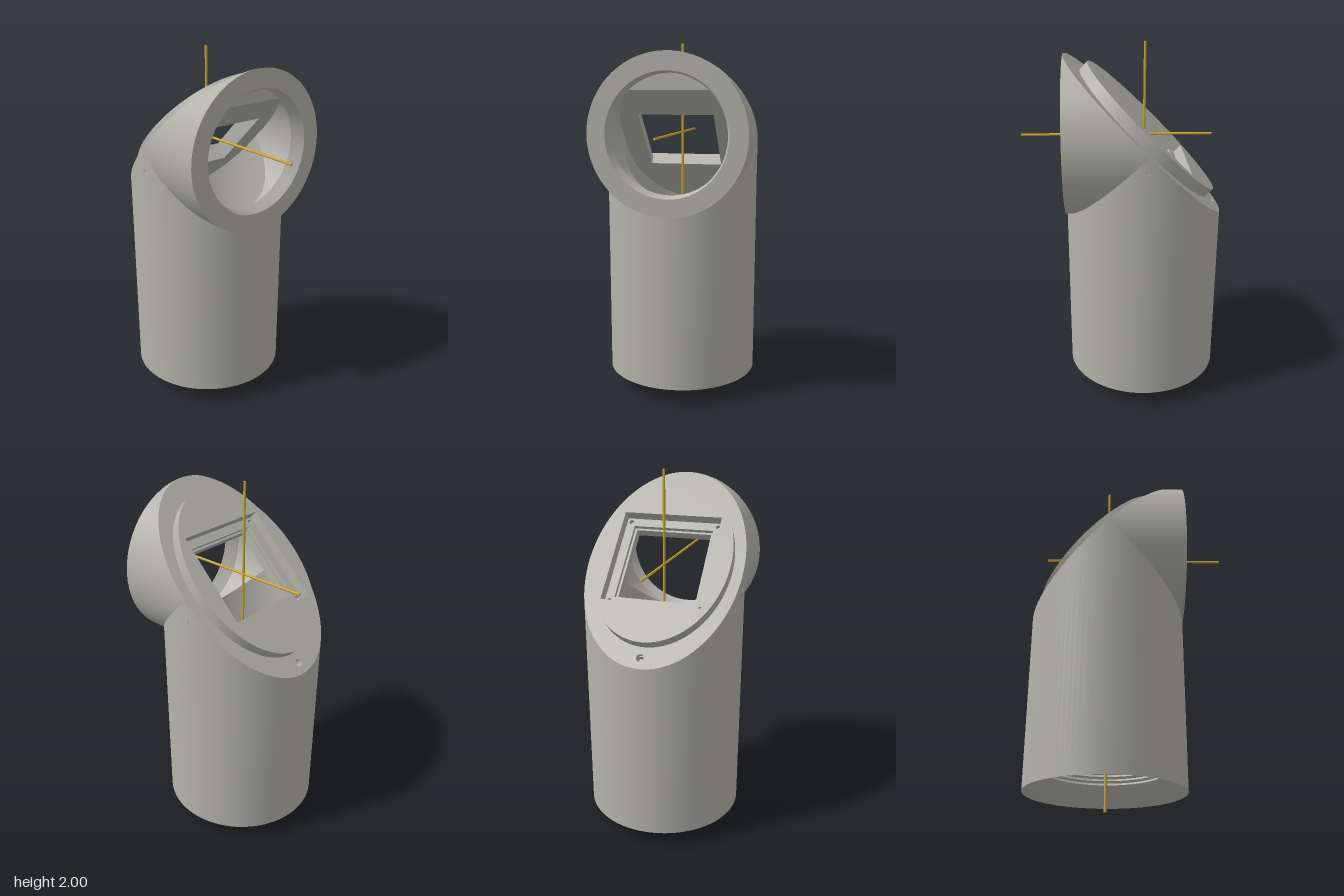
import * as THREE from 'three';
import { toCreasedNormals } from 'three/addons/utils/BufferGeometryUtils.js';

const R = 0.433, BORE = 0.333;          // outer and inner pipe radius
const CX = -0.12, CY = 1.505;           // where the two pipe axes cross
const BASE = 0.097 - CY, LIP = 0.42 - CY; // heights relative to the crossing
const T = 0.062, BACK = 0.068;          // raised disc height, wall behind the slanted face
const OFF = BACK * Math.SQRT2;
const SOCKET = 0.331, N = 96;

export function createModel() {
  const root = new THREE.Group();
  const grey = new THREE.MeshStandardMaterial({ color: 0xb3b2aa, side: THREE.DoubleSide });
  grey.name = 'warm grey';
  const gold = new THREE.MeshStandardMaterial({ color: 0xc9a530 });
  gold.name = 'gold';

  const elbow = new THREE.Group();
  elbow.name = 'elbow';
  elbow.position.set(CX, CY, 0);
  root.add(elbow);

  const add = (name, geo, parent = elbow, mat = grey) => {
    const m = new THREE.Mesh(geo, mat);
    m.name = name;
    parent.add(m);
    return m;
  };

  // Pipe wall whose straight lines run from a(c) to b(c), c = cross coordinate
  const pipe = (r, a, b, alongX) => {
    const pos = [], idx = [];
    for (let i = 0; i < N; i++) {
      const t = (i / N) * Math.PI * 2, c = r * Math.cos(t), z = r * Math.sin(t);
      for (const l of [a(c), b(c)]) pos.push(...(alongX ? [l, c, z] : [c, l, z]));
      const p = 2 * i, q = 2 * ((i + 1) % N);
      if (alongX) idx.push(p, q, p + 1, q, q + 1, p + 1);
      else idx.push(p, p + 1, q, q, p + 1, q + 1);
    }
    const g = new THREE.BufferGeometry();
    g.setAttribute('position', new THREE.Float32BufferAttribute(pos, 3));
    g.setIndex(idx);
    g.computeVertexNormals();
    return g;
  };

  // Mitred outer pipes and bores
  add('uprightPipe', pipe(R, () => BASE, u => -Math.abs(u), false));
  add('sidePipe', pipe(R, v => Math.abs(v), () => R, true));
  add('uprightBore', pipe(BORE, () => LIP, u => Math.min(u - OFF, -u), false));
  add('sideBore', pipe(BORE, v => Math.min(SOCKET, Math.max(v + OFF, -v)), () => SOCKET, true));

  // Threaded sockets
  const lathe = pts => toCreasedNormals(
    new THREE.LatheGeometry(pts.map(p => new THREE.Vector2(...p)), N), 0.5);
  const thread = (from, to, turns) => {
    const pts = [];
    for (let i = 0; i <= turns * 2; i++)
      pts.push([i % 2 ? BORE - 0.009 : BORE, from + ((to - from) * i) / (turns * 2)]);
    return pts;
  };
  add('lowerSocket', lathe([
    [R, BASE], ...thread(BASE + 0.1, BASE + 0.27, 7),
    [0.29, BASE + 0.28], [0.29, LIP], [BORE, LIP],
  ]));
  add('sideSocket', lathe([[R, R], ...thread(R, SOCKET, 5)])).rotation.z = -Math.PI / 2;

  // Flat wall at the end of the side socket, above the slanted back
  const a0 = Math.asin((SOCKET - OFF) / BORE);
  const segment = new THREE.Shape().absarc(0, 0, BORE, a0, Math.PI - a0, false);
  const endWall = add('socketEndWall', new THREE.ShapeGeometry(segment, 32));
  endWall.rotation.y = Math.PI / 2;
  endWall.position.x = SOCKET;

  // Slanted face: local x runs up the slope, local z points out of it
  const slant = new THREE.Group();
  slant.name = 'slantedFace';
  const k = Math.SQRT1_2;
  slant.applyMatrix4(new THREE.Matrix4().makeBasis(
    new THREE.Vector3(k, k, 0), new THREE.Vector3(0, 0, -1), new THREE.Vector3(-k, k, 0)));
  elbow.add(slant);

  const ellipse = (a, b) => new THREE.Shape().absellipse(0, 0, a, b, 0, Math.PI * 2, false, 0);
  const circleHole = (x, y, r) => new THREE.Path().absarc(x, y, r, 0, Math.PI * 2, true);
  const squareHole = h => new THREE.Path(
    [[-h, -h], [-h, h], [h, h], [h, -h]].map(p => new THREE.Vector2(...p)));
  const plate = (name, shape, holes, z0, z1) => {
    shape.holes.push(...holes);
    const g = new THREE.ExtrudeGeometry(shape, { depth: z1 - z0, bevelEnabled: false, curveSegments: 48 });
    g.translate(0, 0, z0);
    return add(name, toCreasedNormals(g, 0.5), slant);
  };

  // Rim around the disc with its screw hole
  const rim = ellipse(R * Math.SQRT2, R);
  rim.holes.push(ellipse(0.488, 0.373), circleHole(-0.552, 0, 0.02));
  add('slantedRim', new THREE.ShapeGeometry(rim, 48), slant);
  const pit = add('rimScrewHole', lathe([[0, -0.05], [0.02, -0.05], [0.02, 0]]), slant);
  pit.rotation.x = Math.PI / 2;
  pit.position.x = -0.552;

  // Raised disc, recess floor with screw holes, and back wall
  const corners = [];
  for (const x of [-1, 1]) for (const y of [-1, 1]) corners.push(circleHole(x * 0.249, y * 0.249, 0.013));
  plate('raisedDisc', ellipse(0.492, 0.377), [squareHole(0.273)], 0.002, T);
  plate('recessFloor', ellipse(0.405, 0.365), [squareHole(0.225), ...corners], T - 0.08, 0.004);

  // Outline of the back wall follows the two bores
  const half = [];
  for (let i = 0; i <= 40; i++) {
    const u = -BORE * Math.cos((i / 40) * (Math.PI - Math.acos(SOCKET / BORE)));
    const c = u < OFF / 2 ? u : u - OFF;
    half.push(new THREE.Vector2(u * Math.SQRT2 - BACK, Math.sqrt(Math.max(0, BORE * BORE - c * c))));
  }
  const mirrored = half.slice(1).reverse().map(p => new THREE.Vector2(p.x, -p.y));
  plate('backWall', new THREE.Shape([...half, ...mirrored]), [squareHole(0.213)], -BACK, T - 0.08);

  // Small screw points on both flanks
  for (const s of [-1, 1]) {
    const dot = add(s > 0 ? 'frontScrewPoint' : 'backScrewPoint',
      new THREE.CylinderGeometry(0.018, 0.018, 0.004, 24));
    dot.rotation.x = Math.PI / 2;
    dot.position.set(0, -0.11, s * R);
  }

  // Axis rods
  const rod = (name, len) => add(name, new THREE.CylinderGeometry(0.007, 0.007, len, 12), root, gold);
  rod('uprightRod', 2).position.set(CX, 1, 0);
  const cross = rod('crossRod', 1.043);
  cross.rotation.z = Math.PI / 2;
  cross.position.set(0.0315, CY, 0);

  return root;
}
